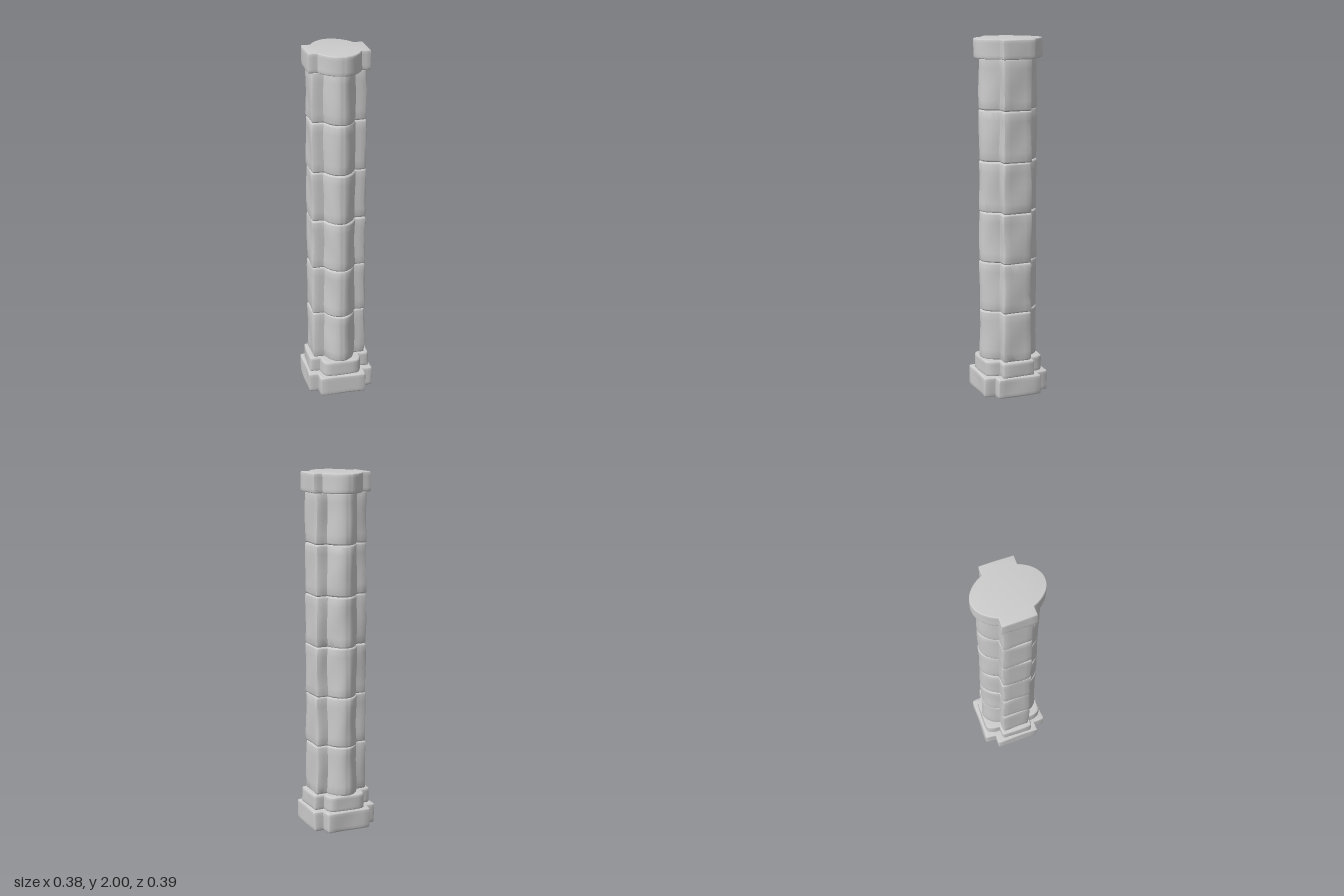
import * as THREE from 'three';
import { toCreasedNormals } from 'three/addons/utils/BufferGeometryUtils.js';

const stone = new THREE.MeshStandardMaterial({ color: 0xcccccc });

// Quarter of an elliptical lobe, from height z0 up to the z axis
function lobe(a, b, z0, n = 12) {
  const start = Math.asin(z0 / b);
  return Array.from({ length: n + 1 }, (_, i) => {
    const t = start + (Math.PI / 2 - start) * i / n;
    return [a * Math.cos(t), b * Math.sin(t)];
  });
}

// Arm end with a small softened corner
const arm = (x, z, r) => [[x, z - r], [x - r * 0.3, z - r * 0.3], [x - r, z]];

// Mirror a quarter outline into a closed outline and split its long edges
function outline(quarter) {
  const flip = (sx, sz) => quarter.map(([x, z]) => new THREE.Vector2(x * sx, z * sz));
  const pts = [...flip(1, 1), ...flip(-1, 1).reverse(), ...flip(-1, -1), ...flip(1, -1).reverse()];
  const out = [];
  pts.forEach((p, i) => {
    const q = pts[(i + 1) % pts.length];
    const d = p.distanceTo(q);
    if (d < 1e-5) return;
    const n = Math.ceil(d / 0.035);
    for (let k = 0; k < n; k++) out.push(p.clone().lerp(q, k / n));
  });
  return new THREE.Shape(out);
}

// One stone course: bevelled extrusion with gently uneven faces
function course(name, quarter, y0, y1, bevel, wobble, seed) {
  const geo = new THREE.ExtrudeGeometry(outline(quarter), {
    depth: y1 - y0 - 2 * bevel, steps: 6,
    bevelSize: bevel, bevelOffset: -bevel, bevelThickness: bevel, bevelSegments: 3,
  });
  geo.rotateX(-Math.PI / 2).translate(0, y0 + bevel, 0);
  const p = geo.attributes.position;
  for (let i = 0; i < p.count; i++) {
    const x = p.getX(i), y = p.getY(i), z = p.getZ(i);
    p.setX(i, x + wobble * Math.sin(19 * y + 23 * z + seed * 2.1) * Math.sign(x) * Math.min(1, Math.abs(x) * 20));
    p.setZ(i, z + wobble * Math.sin(17 * y + 25 * x + seed * 3.7) * Math.sign(z) * Math.min(1, Math.abs(z) * 20));
  }
  const mesh = new THREE.Mesh(toCreasedNormals(geo, 0.75), stone);
  mesh.name = name;
  return mesh;
}

export function createModel() {
  const model = new THREE.Group();
  model.name = 'stoneColumn';

  // Cross-shaped foot and the smaller step above it
  const foot = [...arm(0.186, 0.127, 0.008), [0.134, 0.127], ...arm(0.13, 0.19, 0.01)];
  const step = [...arm(0.172, 0.094, 0.012), [0.116, 0.094], [0.114, 0.13], [0.102, 0.158], [0.085, 0.17], [0.04, 0.174]];
  model.add(course('foot', foot, 0, 0.115, 0.009, 0.002, 1));
  model.add(course('step', step, 0.112, 0.2, 0.009, 0.002, 2));

  // Six shaft drums: side arms with rounded front and back lobes
  const drum = [...arm(0.152, 0.084, 0.013), ...lobe(0.102, 0.167, 0.084)];
  const count = 6, bottom = 0.197, height = (1.897 - bottom) / count;
  for (let i = 0; i < count; i++) {
    const y = bottom + i * height;
    model.add(course(`drum${i + 1}`, drum, y, y + height, 0.011, 0.0025, 3 + i));
  }

  // Wider capital slab
  const capital = [...arm(0.17, 0.094, 0.005), ...lobe(0.138, 0.194, 0.094, 16)];
  model.add(course('capital', capital, 1.893, 2, 0.006, 0.0015, 10));
  return model;
}
